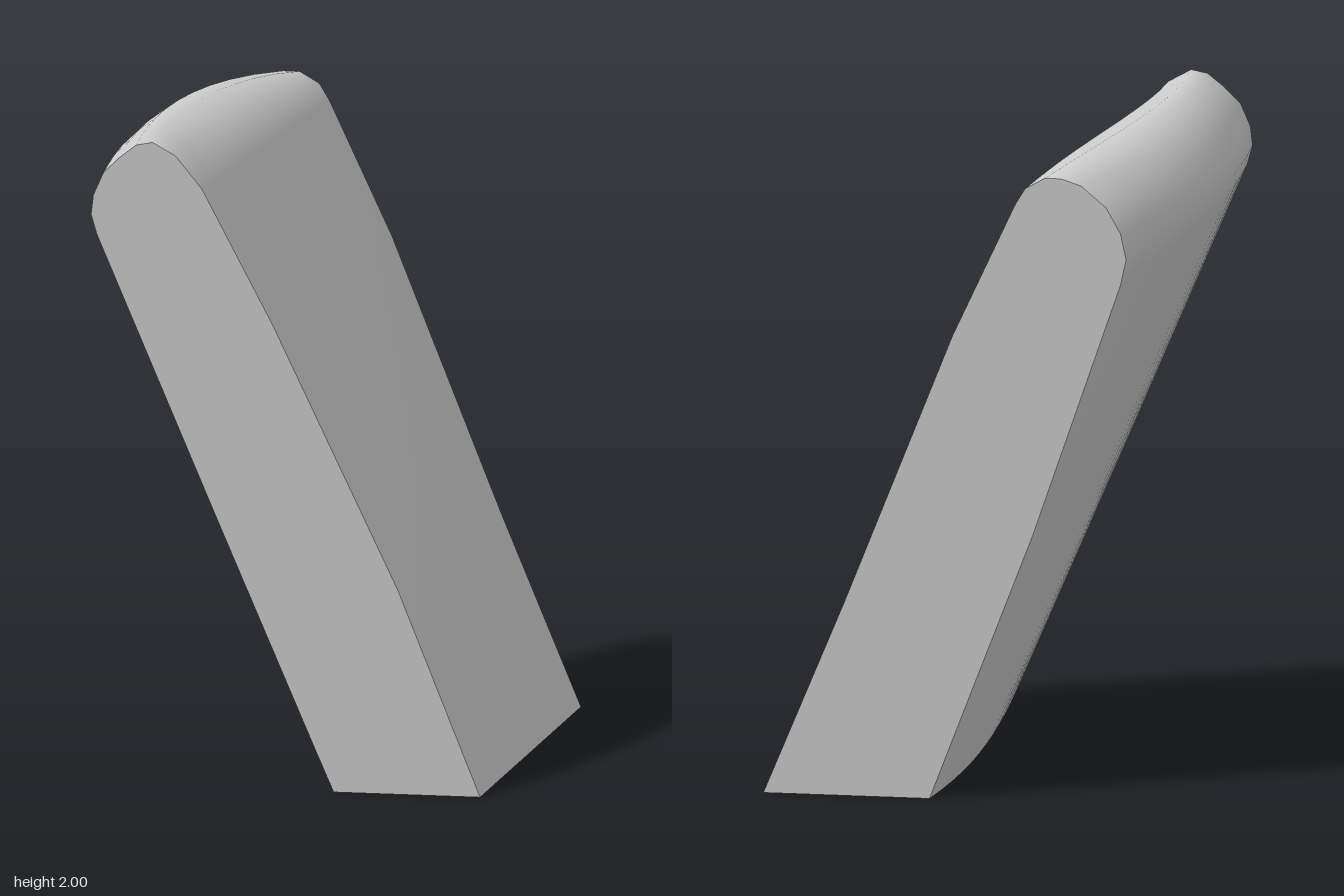
import * as THREE from 'three';

// Rows: front x, front y, back x, back y, easing from front to back.
// The outline runs from the lower left, over the rounded top, to the lower right.
const PROFILE = [
  [0.07, 0, 0.16, 0, 2.8],
  [0.01, 0.14, 0.1, 0.16, 2.7],
  [-0.29, 0.85, -0.153, 0.83, 2.7],
  [-0.65, 1.71, -0.42, 1.62, 2.7],
  [-0.667, 1.77, -0.437, 1.7, 2.7],
  [-0.66, 1.83, -0.42, 1.78, 2.7],
  [-0.63, 1.9, -0.376, 1.86, 2.7],
  [-0.58, 1.95, -0.3, 1.925, 2.7],
  [-0.53, 1.99, -0.24, 1.945, 2.6],
  [-0.48, 2, -0.19, 1.945, 2],
  [-0.41, 1.96, -0.13, 1.91, 1.4],
  [-0.33, 1.86, -0.1, 1.86, 1],
  [-0.115, 1.445, 0.09, 1.445, 1],
  [0.265, 0.635, 0.42, 0.6, 1],
  [0.515, 0, 0.665, 0, 1],
];
const HALF_DEPTH = 0.555;
const STEPS = 10;

// Cross-section at t = 0 (front) to t = 1 (back)
function section(t) {
  return PROFILE.map(([fx, fy, bx, by, e]) => new THREE.Vector3(
    fx + (bx - fx) * t ** e,
    fy + (by - fy) * t ** 4,
    HALF_DEPTH * (1 - 2 * t)
  ));
}

// Skin through rows of points, with smooth normals
function loft(rows) {
  const n = rows[0].length;
  const index = [];
  for (let i = 0; i < rows.length - 1; i++) {
    for (let j = 0; j < n - 1; j++) {
      const a = i * n + j, c = a + n;
      index.push(a, a + 1, c, a + 1, c + 1, c);
    }
  }
  const g = new THREE.BufferGeometry().setFromPoints(rows.flat());
  g.setIndex(index);
  g.computeVertexNormals();
  return g;
}

// Flat end face; the back one is wound the other way
function cap(points, isBack) {
  const outline = points.map(p => new THREE.Vector2(p.x, p.y)).reverse();
  const corners = [...points].reverse();
  const faces = THREE.ShapeUtils.triangulateShape(outline, []);
  const g = new THREE.BufferGeometry().setFromPoints(corners);
  g.setIndex(faces.flatMap(([a, b, c]) => (isBack ? [a, c, b] : [a, b, c])));
  g.computeVertexNormals();
  return g;
}

export function createModel() {
  const model = new THREE.Group();
  model.name = 'leaningSlab';
  const grey = new THREE.MeshStandardMaterial({ color: 0xcccccc });
  grey.name = 'light grey';

  const add = (name, geometry) => {
    const mesh = new THREE.Mesh(geometry, grey);
    mesh.name = name;
    model.add(mesh);
  };

  const rows = [];
  for (let i = 0; i <= STEPS; i++) rows.push(section(i / STEPS));

  // Curved sides and rounded top
  add('sidesAndTop', loft(rows));
  // Flat ends
  add('frontFace', cap(rows[0], false));
  add('backFace', cap(rows[STEPS], true));
  // Flat underside
  add('base', loft(rows.map(r => [r[r.length - 1], r[0]])));

  return model;
}
